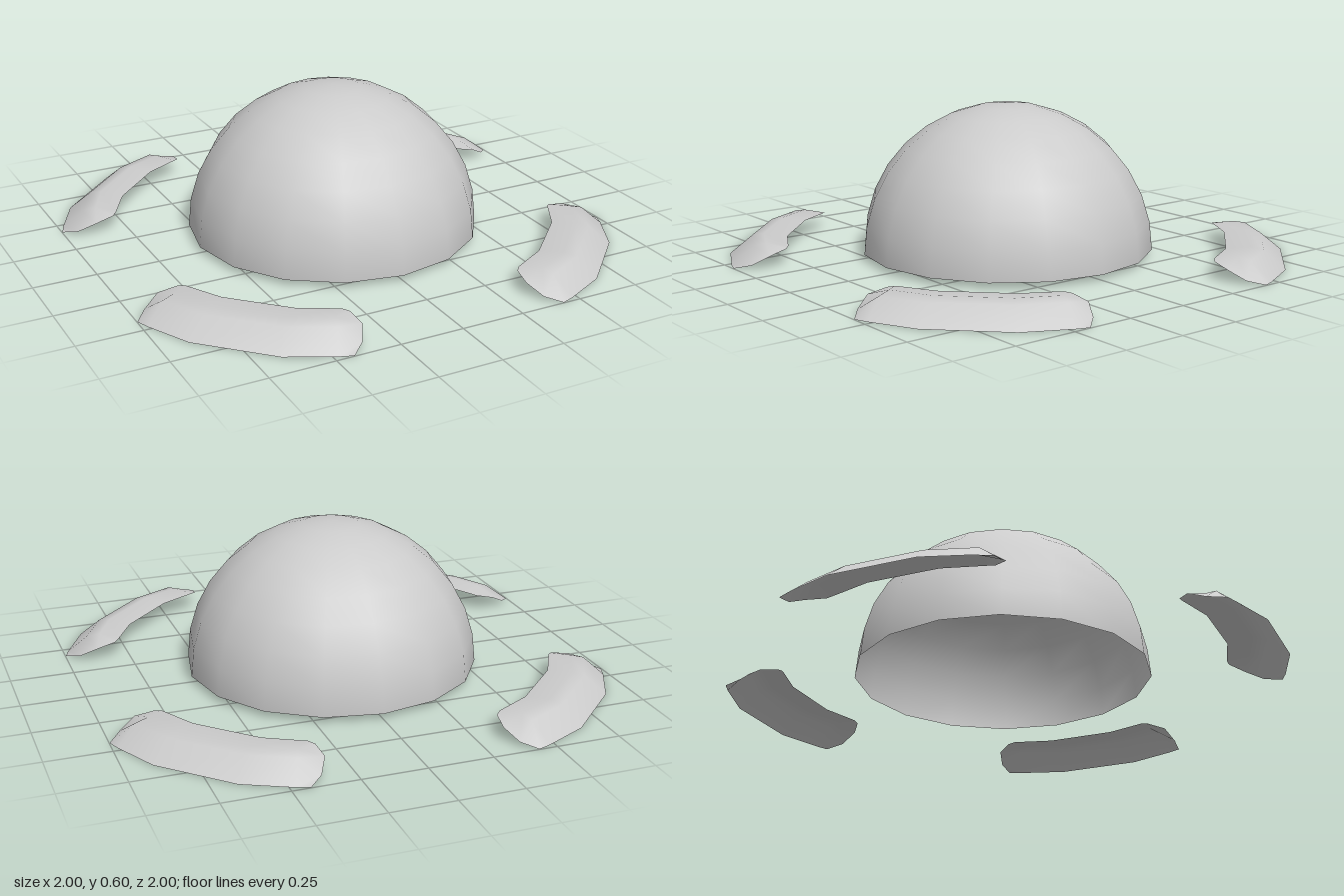
import * as THREE from 'three';

const material = new THREE.MeshStandardMaterial({ color: 0xcccccc, side: THREE.DoubleSide });

// Open curved shell: cross-sections run from the inner edge over the ridge to the outer edge.
function bumperGeometry() {
  const half = [
    [[0.35, 0.065, 0.81], [0.34, 0.05, 0.885], [0.375, 0.015, 0.95], [0.43, 0, 0.998]],
    [[0.37, 0.07, 0.79], [0.43, 0.08, 0.855], [0.445, 0.07, 0.905], [0.48, 0, 0.98]],
    [[0.515, 0.07, 0.71], [0.58, 0.08, 0.78], [0.61, 0.07, 0.82], [0.655, 0, 0.893]],
  ];
  // The second half mirrors the first across the diagonal
  const mirrored = half.map((s) => s.map(([x, y, z]) => [z, y, x])).reverse();
  const sections = [...half, ...mirrored];
  const cols = half[0].length;
  const index = [];
  for (let i = 0; i < sections.length - 1; i++) {
    for (let j = 0; j < cols - 1; j++) {
      const a = i * cols + j;
      const b = a + cols;
      index.push(a, a + 1, b, a + 1, b + 1, b);
    }
  }
  const geometry = new THREE.BufferGeometry();
  geometry.setAttribute('position', new THREE.Float32BufferAttribute(sections.flat(2), 3));
  geometry.setIndex(index);
  geometry.computeVertexNormals();
  return geometry;
}

export function createModel() {
  const model = new THREE.Group();

  // Hollow dome, open at the bottom
  const dome = new THREE.Mesh(
    new THREE.SphereGeometry(0.58, 16, 8, 0, Math.PI * 2, 0, Math.PI / 2),
    material,
  );
  dome.name = 'dome';
  dome.position.y = 0.023;
  model.add(dome);

  // Four sloped bumpers around the dome
  const geometry = bumperGeometry();
  ['frontLeft', 'backLeft', 'backRight', 'frontRight'].forEach((corner, i) => {
    const bumper = new THREE.Mesh(geometry, material);
    bumper.name = `${corner}Bumper`;
    bumper.rotation.y = (i * Math.PI) / 2;
    model.add(bumper);
  });

  return model;
}
